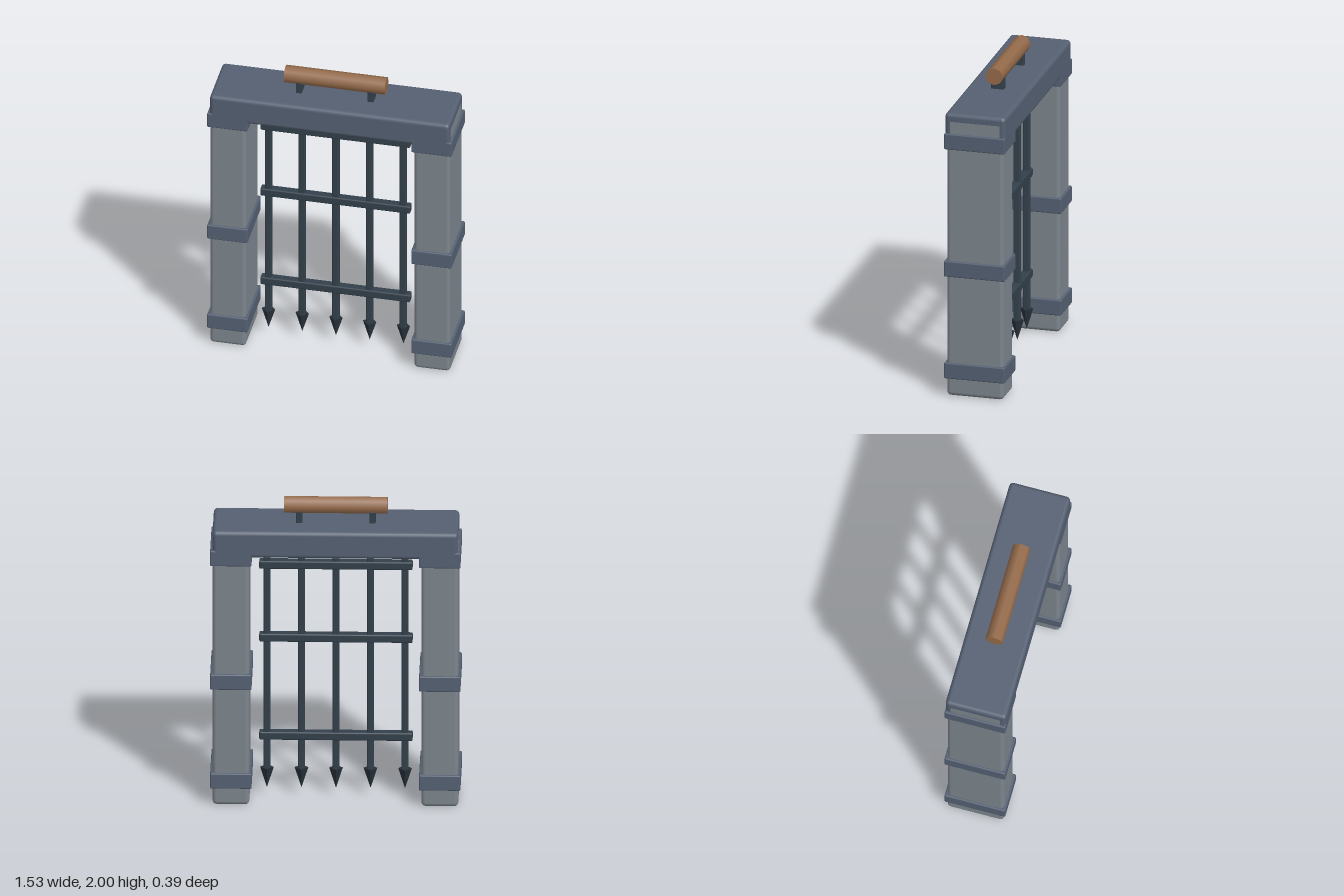
import * as THREE from 'three';
import { RoundedBoxGeometry } from 'three/addons/geometries/RoundedBoxGeometry.js';

const material = (color, flatShading = false) => new THREE.MeshStandardMaterial({ color, flatShading });

export function createModel() {
  const model = new THREE.Group();
  model.name = 'portcullisGate';

  const stone = material(0x7c858d);
  const slate = material(0x556072);
  const iron = material(0x33404b);
  const spikeIron = material(0x28323b, true);
  const wood = material(0x946a4a);

  const add = (name, geometry, mat, x, y, z = 0) => {
    const mesh = new THREE.Mesh(geometry, mat);
    mesh.name = name;
    mesh.position.set(x, y, z);
    model.add(mesh);
    return mesh;
  };
  // Softly bevelled block
  const block = (w, h, d, r) => new RoundedBoxGeometry(w, h, d, 2, r);

  // Pillars with three bands each, and handle posts
  for (const [side, s] of [['left', 1], ['right', -1]]) {
    add(`${side}Pillar`, block(0.226, 1.805, 0.36, 0.025), stone, s * 0.64, 0.9075);
    for (const y of [0.17, 0.832, 1.66]) {
      add(`${side}PillarBand`, block(0.254, 0.102, 0.386, 0.008), slate, s * 0.64, y);
    }
    add(`${side}HandlePost`, block(0.038, 0.1, 0.084, 0.005), iron, s * 0.225, 1.866);
  }

  // Lintel across the top
  add('lintel', block(1.505, 0.176, 0.386, 0.025), slate, 0, 1.752);

  // Wooden handle
  add('handle', new THREE.CylinderGeometry(0.055, 0.055, 0.634, 8), wood, 0, 1.945)
    .rotation.z = Math.PI / 2;

  // Upright bars with pointed tips
  for (let i = -2; i <= 2; i++) {
    const x = i * 0.2115;
    add('gateBar', block(0.042, 1.44, 0.042, 0.009), iron, x, 0.882);
    add('barSpike', new THREE.ConeGeometry(0.042, 0.135, 4), spikeIron, x, 0.118)
      .rotation.x = Math.PI;
  }

  // Cross rails
  for (const y of [0.403, 1.06, 1.548]) {
    add('crossRail', block(0.94, 0.053, 0.056, 0.009), iron, 0, y);
  }

  return model;
}
